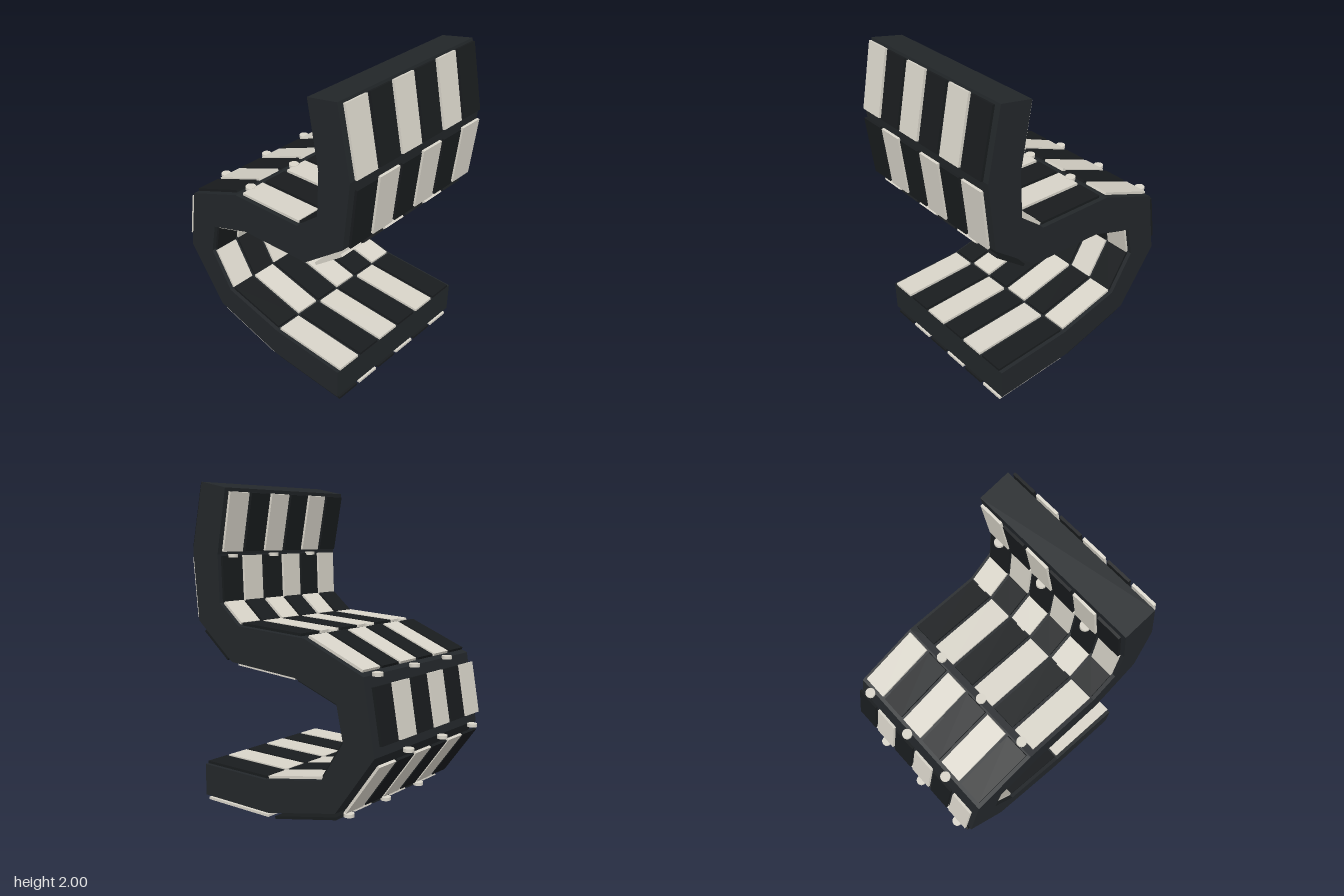
import * as THREE from 'three';

const body = new THREE.MeshStandardMaterial({ color: 0x23272a, flatShading: true });
const black = new THREE.MeshStandardMaterial({ color: 0x191c1e, flatShading: true });
const ivory = new THREE.MeshStandardMaterial({ color: 0xd8d4c9 });

// The S-curve of the chair: both faces run from the foot to the top of the back
const sitting = [[0.635, 0.05], [0.1, 0.05], [-0.41, 0.16], [-0.675, 0.52], [-0.6, 0.95],
  [-0.19, 1.12], [0.32, 1.15], [0.475, 1.28], [0.485, 1.57], [0.41, 1.96]];
const hidden = [[0.635, 0.25], [0.12, 0.25], [-0.31, 0.33], [-0.465, 0.57], [-0.42, 0.78],
  [-0.12, 0.89], [0.38, 0.93], [0.66, 1.16], [0.7, 1.59], [0.61, 2.0]];

// Per segment: [gap from body to slat centre, trim at start, trim at end]
const sittingFit = [[0.03, 0, 0.02], [0.035, 0.03, 0.02], [0.035, 0.04, 0.03], [0.035, 0.06, 0.06],
  [0.015, 0.03, 0.01], [0.012, 0.04, 0.01], [0.01, 0.01, 0.01], [0.01, 0, 0.01], [0.018, 0.02, 0.02]];
const hiddenFit = [[0.008, 0, 0.01], [0.01, 0.01, 0.01], [0.01, 0.01, 0.01], [0.01, 0.01, 0.01],
  [0.01, 0.01, 0.01], [0.01, 0.02, 0.03], [0.03, 0.05, 0.06], [0.025, 0.02, 0.04], [0.022, 0.01, 0.01]];

const knobs = [[0.11, 0.01], [-0.43, 0.13], [-0.705, 0.515], [-0.62, 0.955],
  [-0.17, 1.135], [0.32, 1.155], [0.465, 1.235], [0.46, 1.56]];

const ROWS = 6;
const rowZ = (row) => -0.447 + row * 0.179;

// One row of alternating slats per segment of a face
function slats(name, path, fit, side, phase) {
  const group = new THREE.Group();
  group.name = name;
  fit.forEach(([gap, t0, t1], i) => {
    const a = new THREE.Vector2(...path[i]);
    const b = new THREE.Vector2(...path[i + 1]);
    const dir = b.clone().sub(a).normalize();
    a.addScaledVector(dir, t0);
    b.addScaledVector(dir, -t1);
    const mid = a.clone().add(b).multiplyScalar(0.5);
    mid.addScaledVector(new THREE.Vector2(-dir.y, dir.x), side * gap);
    const geometry = new THREE.BoxGeometry(a.distanceTo(b), 0.016, 0.158);
    for (let row = 0; row < ROWS; row++) {
      const light = (i + row + phase) % 2 === 0;
      const slat = new THREE.Mesh(geometry, light ? ivory : black);
      slat.name = light ? 'lightSlat' : 'darkSlat';
      slat.position.set(mid.x, mid.y, rowZ(row));
      slat.rotation.z = Math.atan2(dir.y, dir.x);
      group.add(slat);
    }
  });
  return group;
}

export function createModel() {
  const chair = new THREE.Group();
  chair.name = 'cantileverChair';

  // Folded body, extruded across the width
  const outline = [...sitting, ...hidden.slice().reverse()].map((p) => new THREE.Vector2(...p));
  const geometry = new THREE.ExtrudeGeometry(new THREE.Shape(outline), { depth: 1.1, bevelEnabled: false });
  geometry.translate(0, 0, -0.55);
  const frame = new THREE.Mesh(geometry, body);
  frame.name = 'body';
  chair.add(frame);

  // Checkered slats on both faces
  chair.add(slats('sittingSlats', sitting, sittingFit, 1, 0));
  chair.add(slats('undersideSlats', hidden, hiddenFit, -1, 1));

  // Round knobs where each light slat begins
  const disc = new THREE.CylinderGeometry(0.031, 0.031, 0.02, 24);
  knobs.forEach(([x, y], i) => {
    for (let row = (i + 1) % 2; row < ROWS; row += 2) {
      const knob = new THREE.Mesh(disc, ivory);
      knob.name = 'knob';
      knob.position.set(x, y, rowZ(row));
      chair.add(knob);
    }
  });
  return chair;
}
